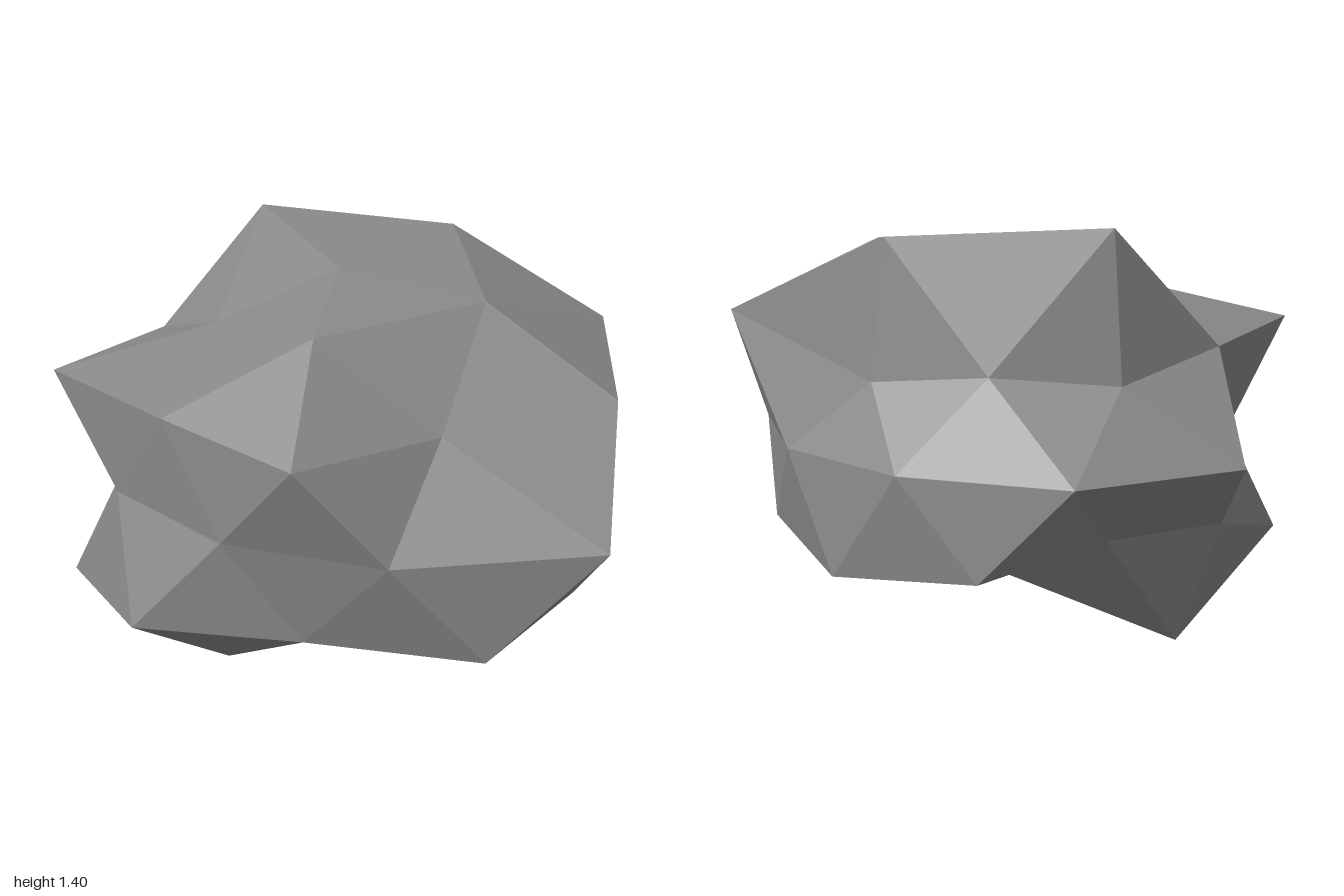
import * as THREE from 'three';

// Centre of the boulder and its vertical squash
const CENTRE = new THREE.Vector3(-0.1, 0.69, -0.05);
const SQUASH = 0.711;

// One ring of a subdivided icosahedron: unit height, start angle, bulge of each point
function ring(height, startDeg, bulges) {
  const flat = Math.sqrt(1 - height * height);
  return bulges.map((r, i) => {
    const a = THREE.MathUtils.degToRad(startDeg + (i * 360) / bulges.length);
    return new THREE.Vector3(flat * Math.cos(a), height * SQUASH, flat * Math.sin(a))
      .multiplyScalar(r).add(CENTRE);
  });
}

function boulderGeometry() {
  // Rings from the top pole down to the bottom pole
  const [top] = ring(1, 0, [0.907]);
  const cap = ring(0.8507, 0, [1.008, 0.965, 0.79, 1.17, 1.11]);
  const upper = ring(0.4472, 0, [1.105, 1.015, 1.08, 0.75, 0.72]);
  const upperMid = ring(0.5257, 36, [0.81, 0.92, 0.845, 0.717, 1.105]);
  const belt = ring(0, 18, [1.157, 0.91, 0.82, 0.825, 0.726, 0.95, 0.917, 0.82, 0.82, 0.87]);
  const lowerMid = ring(-0.5257, 0, [1.04, 0.91, 1.125, 0.705, 0.96]);
  const lower = ring(-0.4472, 36, [1.1, 1.065, 0.835, 0.948, 0.91]);
  const base = ring(-0.8507, 36, [0.71, 1.055, 1.145, 0.69, 0.795]);
  const [bottom] = ring(-1, 0, [0.755]);

  // Each large triangle becomes four facets through its edge points
  const points = [];
  const facets = (a, b, c, ab, bc, ca) =>
    points.push(a, ab, ca, ab, b, bc, ca, bc, c, ab, bc, ca);

  for (let k = 0; k < 5; k++) {
    const n = (k + 1) % 5;
    const left = belt[2 * k], mid = belt[2 * k + 1], right = belt[(2 * k + 2) % 10];
    facets(top, upper[n], upper[k], cap[n], upperMid[k], cap[k]);
    facets(upper[k], upper[n], lower[k], upperMid[k], mid, left);
    facets(lower[n], lower[k], upper[n], lowerMid[n], mid, right);
    facets(bottom, lower[k], lower[n], base[k], lowerMid[n], base[n]);
  }

  const geometry = new THREE.BufferGeometry().setFromPoints(points);
  geometry.computeVertexNormals(); // unshared corners give flat facets
  return geometry;
}

export function createModel() {
  const group = new THREE.Group();
  group.name = 'rock';
  const stone = new THREE.MeshStandardMaterial({ color: 0x888888, flatShading: true });
  stone.name = 'stone grey';
  const boulder = new THREE.Mesh(boulderGeometry(), stone);
  boulder.name = 'boulder';
  group.add(boulder);
  return group;
}
